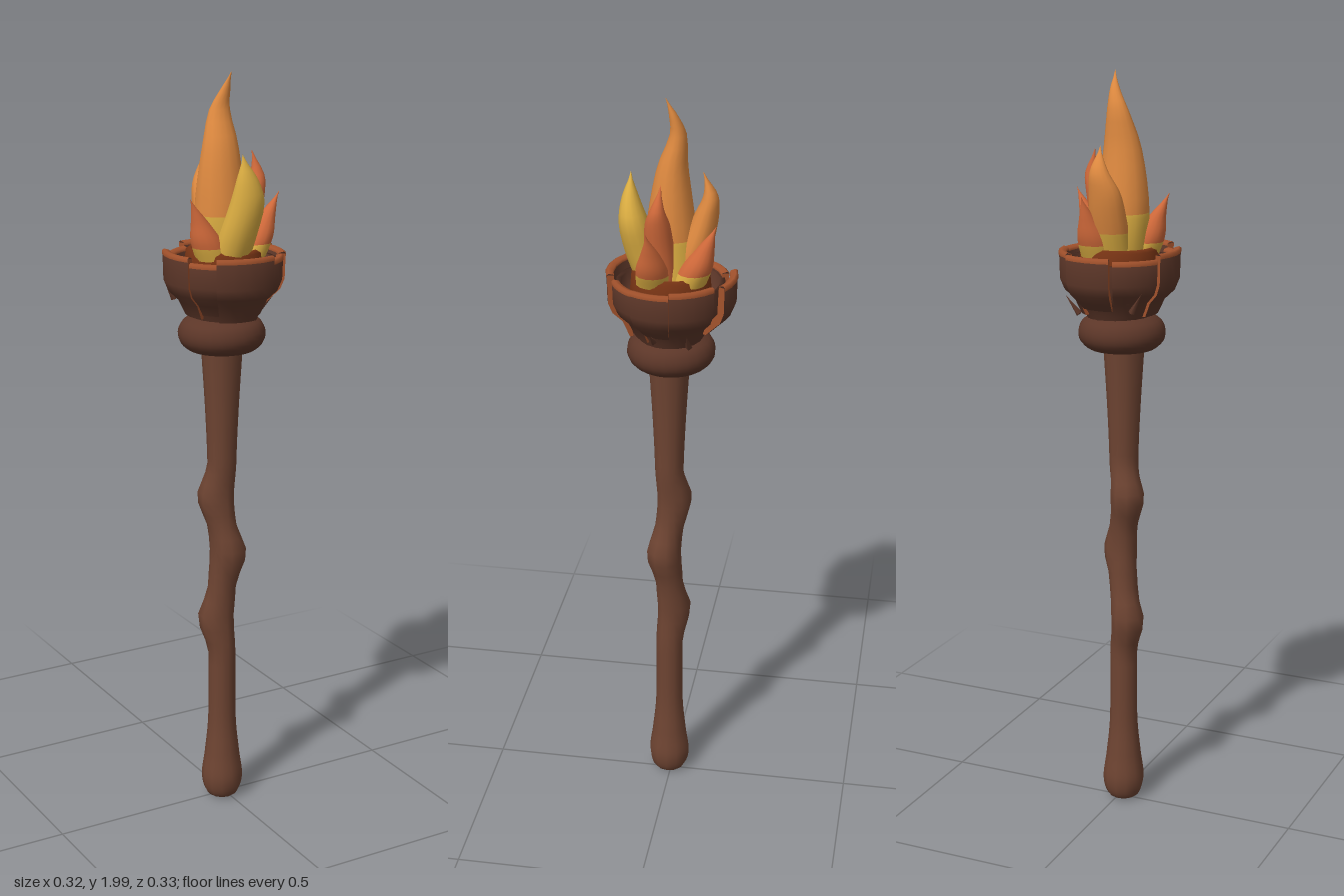
import * as THREE from 'three';
import { mergeVertices } from 'three/addons/utils/BufferGeometryUtils.js';

const mat = (name, color, side = THREE.FrontSide) => {
  const m = new THREE.MeshStandardMaterial({ color, side });
  m.name = name;
  return m;
};
const V2 = (a) => a.map(([x, y]) => new THREE.Vector2(x, y));

// Weld the seam and recompute smooth normals
function smooth(geo) {
  geo.deleteAttribute('uv');
  geo.deleteAttribute('normal');
  const g = mergeVertices(geo, 1e-5);
  g.computeVertexNormals();
  return g;
}

export function createModel() {
  const root = new THREE.Group();
  root.name = 'torch';
  const wood = mat('wood', 0x6e4432);
  const darkWood = mat('dark wood', 0x5c3628, THREE.DoubleSide);
  const edgeWood = mat('worn wood edge', 0xa3522c, THREE.DoubleSide);
  const ember = mat('ember', 0x7a3515, THREE.DoubleSide);
  const yellow = mat('flame yellow', 0xdcae42, THREE.DoubleSide);
  const orange = mat('flame orange', 0xdf8a40, THREE.DoubleSide);
  const red = mat('flame red orange', 0xd0693a, THREE.DoubleSide);

  const add = (parent, name, geo, material) => {
    const m = new THREE.Mesh(geo, material);
    m.name = name;
    parent.add(m);
    return m;
  };

  // Handle: turned profile with knots pushed out on alternating sides
  const profile = new THREE.SplineCurve(V2([
    [0.001, 0.004], [0.04, 0.01], [0.056, 0.06], [0.047, 0.14], [0.038, 0.24], [0.037, 0.4],
    [0.038, 0.7], [0.038, 0.95], [0.044, 1.12], [0.055, 1.3],
  ])).getPoints(72);
  const handleGeo = new THREE.LatheGeometry(profile, 12);
  const knots = [[0.53, -2.25], [0.72, 0.8], [0.88, -2.3]];
  const p = handleGeo.attributes.position;
  for (let i = 0; i < p.count; i++) {
    const x = p.getX(i), y = p.getY(i), z = p.getZ(i);
    const a = Math.atan2(x, z);
    let push = 0;
    for (const [ky, ka] of knots) {
      const fall = Math.max(0, 1 - Math.abs(y - ky) / 0.085);
      push += 0.033 * fall * Math.max(-0.2, Math.cos(a - ka));
    }
    p.setXYZ(i, x + Math.sin(a) * push - 0.011, y, z + Math.cos(a) * push + 0.006);
  }
  add(root, 'handle', smooth(handleGeo), wood);

  // Rounded collar below the cup
  const collarProfile = new THREE.SplineCurve(V2([
    [0.05, 1.28], [0.085, 1.285], [0.108, 1.305], [0.114, 1.33], [0.105, 1.355], [0.085, 1.37], [0.07, 1.375],
  ])).getPoints(18);
  add(root, 'collar', smooth(new THREE.LatheGeometry(collarProfile, 24)), darkWood).position.x = -0.008;

  // Inner bowl that closes the gaps between the staves
  const bowl = V2([[0.08, 1.36], [0.09, 1.385], [0.108, 1.415], [0.135, 1.45], [0.139, 1.52],
    [0.126, 1.52], [0.118, 1.46], [0.001, 1.45]]);
  add(root, 'bowl', new THREE.LatheGeometry(bowl, 20), darkWood);

  // Staves around the cup: [centre angle, half angle, outward shift, top, bottom]
  const cup = new THREE.Group();
  cup.name = 'cupStaves';
  root.add(cup);
  const staves = [
    [-0.14, 0.5, 0.006, 1.545, 1.375], [0.72, 0.34, -0.006, 1.53, 1.38],
    [1.36, 0.33, 0.0, 1.535, 1.4], [2.1, 0.4, -0.002, 1.54, 1.38],
    [3.02, 0.38, 0.012, 1.54, 1.4], [-2.42, 0.42, -0.008, 1.53, 1.38],
    [-1.57, 0.44, 0.002, 1.545, 1.38], [-0.88, 0.26, -0.004, 1.53, 1.39],
  ];
  for (const [a, half, out, top, bottom] of staves) {
    const r = 0.157 + out;
    const outer = [[0.1 + out, bottom], [0.118 + out, 1.418], [r - 0.013, 1.443], [r - 0.002, 1.47], [r, top]];
    const inner = [[r - 0.018, top], [r - 0.022, 1.465], [0.1 + out, 1.425], [0.09 + out, bottom]];
    const pts = V2([...outer, ...inner]);
    const stave = new THREE.Group();
    stave.name = 'stave';
    cup.add(stave);
    add(stave, 'staveBody', new THREE.LatheGeometry([...pts, pts[0]], 4, a - half, half * 2), darkWood);
    // Worn upper edge
    const rim = V2([[r + 0.001, top - 0.008], [r + 0.001, top + 0.001], [r - 0.005, top + 0.005],
      [r - 0.018, top + 0.001], [r - 0.019, top - 0.006]]);
    add(stave, 'staveRim', new THREE.LatheGeometry(rim, 4, a - half, half * 2), edgeWood);
    // Worn end faces
    for (const s of [-1, 1]) {
      const end = add(stave, 'staveEnd', new THREE.ShapeGeometry(new THREE.Shape(pts)), edgeWood);
      end.rotation.y = a + s * half - Math.PI / 2;
    }
  }

  // Splinters torn from the cup wall
  for (const [x, y, z, tilt] of [[0.112, 1.405, 0.03, -0.9], [0.105, 1.4, -0.06, -0.7], [-0.1, 1.43, -0.115, 0.5]]) {
    const s = add(cup, 'splinter', new THREE.ConeGeometry(0.009, 0.06, 4), darkWood);
    s.position.set(x, y, z);
    s.rotation.z = tilt;
  }

  // Ember bed inside the cup
  const bed = V2([[0.1, 1.45], [0.104, 1.5], [0.1, 1.545], [0.09, 1.553], [0.076, 1.545], [0.068, 1.52], [0.001, 1.53]]);
  add(root, 'emberBed', new THREE.LatheGeometry(bed, 20), ember);

  // Flame tongues: sections of [x, y, z, rx, rz]; bands of [material, end fraction]
  const flame = new THREE.Group();
  flame.name = 'flame';
  root.add(flame);
  function tongue(name, sections, bands) {
    const path = new THREE.CatmullRomCurve3(sections.map(([x, y, z]) => new THREE.Vector3(x, y, z)));
    const size = new THREE.SplineCurve(V2(sections.map((s) => [s[3], s[4]])));
    let from = 0;
    for (const [material, to] of bands) {
      const geo = new THREE.CylinderGeometry(1, 1, 1, 14, 12, true);
      const q = geo.attributes.position;
      for (let i = 0; i < q.count; i++) {
        const t = from + (to - from) * (q.getY(i) + 0.5);
        const c = path.getPoint(t), r = size.getPoint(t);
        q.setXYZ(i, c.x + q.getX(i) * Math.max(r.x, 0.0004), c.y, c.z + q.getZ(i) * Math.max(r.y, 0.0004));
      }
      add(flame, name, smooth(geo), material);
      from = to;
    }
  }
  tongue('mainTongue', [
    [0, 1.52, 0, 0.07, 0.075], [-0.01, 1.62, 0, 0.07, 0.068], [-0.012, 1.72, 0, 0.062, 0.055],
    [-0.01, 1.82, -0.004, 0.047, 0.038], [-0.004, 1.9, -0.018, 0.028, 0.021],
    [0.008, 1.95, -0.008, 0.013, 0.011], [0.015, 1.995, 0.01, 0, 0],
  ], [[yellow, 0.2], [orange, 1]]);
  tongue('frontTongue', [
    [-0.01, 1.53, 0.045, 0.05, 0.05], [0, 1.6, 0.072, 0.05, 0.045], [0.014, 1.68, 0.092, 0.046, 0.037],
    [0.008, 1.74, 0.1, 0.028, 0.021], [-0.005, 1.8, 0.1, 0, 0],
  ], [[yellow, 1]]);
  tongue('backTongue', [
    [0, 1.53, -0.035, 0.05, 0.045], [0, 1.62, -0.066, 0.05, 0.04], [0, 1.7, -0.09, 0.042, 0.031],
    [0.01, 1.755, -0.101, 0.024, 0.018], [0.014, 1.815, -0.083, 0, 0],
  ], [[yellow, 0.18], [orange, 1]]);
  tongue('rightUpperTongue', [
    [0.035, 1.53, 0.015, 0.045, 0.04], [0.05, 1.62, 0.02, 0.04, 0.038], [0.068, 1.69, 0.022, 0.034, 0.032],
    [0.084, 1.735, 0.02, 0.019, 0.018], [0.073, 1.795, 0.012, 0, 0],
  ], [[red, 1]]);
  // Low outer licks: base, bend and tip
  const licks = [
    ['rightLowTongue', 0.05, 0.035, 0.105, 0.035, 0.138, 0.04, 1.69],
    ['leftLowTongue', -0.05, 0.03, -0.092, 0.035, -0.122, 0.042, 1.69],
    ['backLowTongue', 0.035, -0.05, 0.045, -0.095, 0.05, -0.122, 1.69],
  ];
  for (const [name, x0, z0, x1, z1, x2, z2, top] of licks) {
    tongue(name, [
      [x0, 1.53, z0, 0.045, 0.045], [(x0 + x1) / 2, 1.58, (z0 + z1) / 2, 0.041, 0.04],
      [x1, 1.63, z1, 0.022, 0.022], [x2, top, z2, 0, 0],
    ], [[yellow, 0.22], [red, 1]]);
  }
  return root;
}
